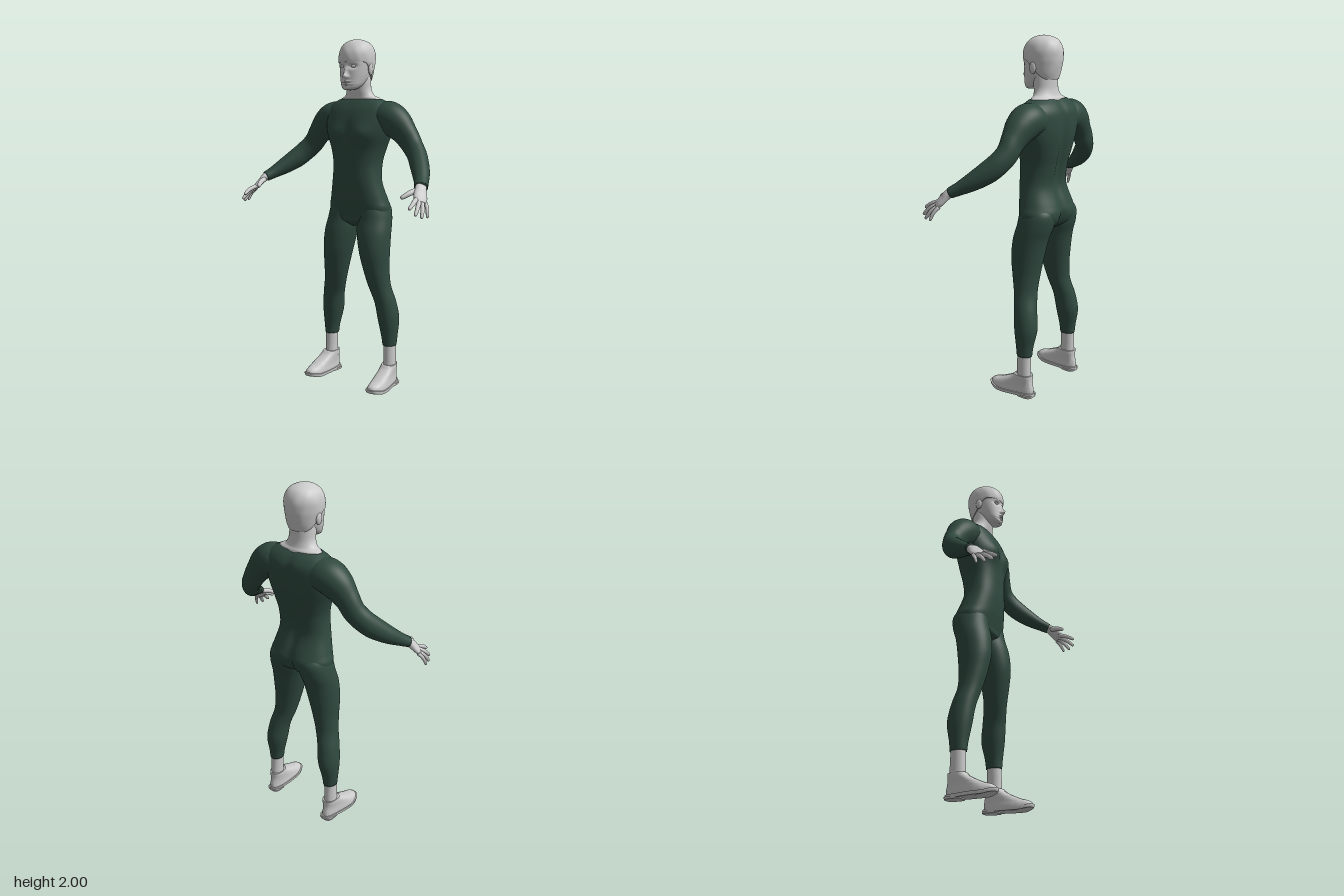
import * as THREE from 'three';
import { toCreasedNormals } from 'three/addons/utils/BufferGeometryUtils.js';

const V = (x, y, z) => new THREE.Vector3(x, y, z);
const skin = new THREE.MeshStandardMaterial({ color: 0xcccccc });
const suit = new THREE.MeshStandardMaterial({ color: 0x304a40 });
const bell = (x, y, sx, sy) => Math.exp(-((x / sx) ** 2) - (y / sy) ** 2);
const step = THREE.MathUtils.smoothstep;

// Row of a vertical loft from its extents: height, inner/outer x, front/back z
const span = ([y, x0, x1, zf, zb]) => [(x0 + x1) / 2, y, (zf + zb) / 2, (x1 - x0) / 2, (zf - zb) / 2];
// The same, symmetric about x = 0
const sym = ([y, rx, zf, zb]) => span([y, -rx, rx, zf, zb]);

// Smooth skin through rows [x, y, z, rx, rz]; rings lie level, or across the path when ref is given
function loft(name, material, rows, { ref, steps = 40, segs = 48, pow = 2, warp, crease } = {}) {
  const spline = (pick) => new THREE.CatmullRomCurve3(rows.map(pick), false, 'catmullrom', 0.5);
  const centre = spline((r) => V(r[0], r[1], r[2]));
  const radius = spline((r) => V(r[3], r[4], 0));
  const pos = [], index = [];
  const put = (p) => { if (warp) warp(p); pos.push(p.x, p.y, p.z); };
  const bend = (c) => Math.sign(c) * Math.abs(c) ** (2 / pow);
  for (let i = 0; i <= steps; i++) {
    const c = centre.getPoint(i / steps), r = radius.getPoint(i / steps);
    const T = ref ? centre.getTangent(i / steps) : V(0, Math.sign(rows.at(-1)[1] - rows[0][1]), 0);
    const S = ref ? ref.clone().cross(T).normalize() : V(1, 0, 0);
    const U = T.clone().cross(S);
    for (let j = 0; j < segs; j++) {
      const a = (j / segs) * Math.PI * 2;
      put(c.clone().addScaledVector(S, bend(Math.cos(a)) * Math.max(r.x, 0.001))
        .addScaledVector(U, bend(Math.sin(a)) * Math.max(r.y, 0.001)));
      if (i < steps) {
        const k = i * segs, n = (j + 1) % segs;
        index.push(k + j, k + n, k + segs + n, k + j, k + segs + n, k + segs + j);
      }
    }
  }
  // End caps
  const e = (steps + 1) * segs;
  put(centre.getPoint(0));
  put(centre.getPoint(1));
  for (let j = 0; j < segs; j++) {
    const n = (j + 1) % segs;
    index.push(e, n, j, e + 1, steps * segs + j, steps * segs + n);
  }
  let g = new THREE.BufferGeometry();
  g.setAttribute('position', new THREE.Float32BufferAttribute(pos, 3));
  g.setIndex(index);
  if (crease) g = toCreasedNormals(g, crease);
  else g.computeVertexNormals();
  const mesh = new THREE.Mesh(g, material);
  mesh.name = name;
  return mesh;
}

// Right-hand copy with the winding turned round
function mirrored(mesh) {
  const g = mesh.geometry.index ? mesh.geometry.toNonIndexed() : mesh.geometry.clone();
  g.scale(-1, 1, 1);
  for (const { array: a } of Object.values(g.attributes)) {
    const n = a.length / (g.attributes.position.count);
    for (let i = 0; i < a.length; i += 3 * n)
      for (let k = 0; k < n; k++) [a[i + n + k], a[i + 2 * n + k]] = [a[i + 2 * n + k], a[i + n + k]];
  }
  const m = new THREE.Mesh(g, mesh.material);
  m.name = mesh.name.replace('left', 'right');
  return m;
}

function ellipsoid(name, material, centre, size) {
  const g = new THREE.SphereGeometry(1, 20, 14).scale(...size).translate(...centre);
  const m = new THREE.Mesh(g, material);
  m.name = name;
  return m;
}

// Chest muscles, spine groove and buttocks
function torsoWarp(p) {
  const front = step(p.z, -0.12, -0.04), back = 1 - step(p.z, -0.2, -0.12), ax = Math.abs(p.x);
  p.z += front * 0.022 * bell(ax - 0.09, p.y - 1.475, 0.065, 0.055);
  p.z -= front * 0.008 * bell(p.x, p.y - 1.42, 0.02, 0.14);
  p.z += back * 0.02 * bell(p.x, p.y - 1.36, 0.025, 0.27);
  p.z -= back * 0.012 * bell(ax - 0.09, p.y - 1.03, 0.06, 0.06);
  p.z += back * 0.02 * bell(p.x, p.y - 1.0, 0.018, 0.07);
}

// Brow, eye sockets, nose, lips and chin
function faceWarp(p) {
  const front = step(p.z, -0.06, -0.015), ax = Math.abs(p.x);
  const d = 0.022 * bell(p.x, p.y - 1.792, 0.013, 0.016) + 0.012 * bell(p.x, p.y - 1.82, 0.01, 0.03)
    + 0.007 * bell(ax - 0.015, p.y - 1.787, 0.008, 0.008) - 0.013 * bell(ax - 0.036, p.y - 1.845, 0.02, 0.012)
    + 0.004 * bell(ax - 0.035, p.y - 1.868, 0.03, 0.01) + 0.007 * bell(p.x, p.y - 1.764, 0.025, 0.006)
    - 0.004 * bell(p.x, p.y - 1.757, 0.028, 0.003) + 0.007 * bell(p.x, p.y - 1.749, 0.022, 0.006)
    - 0.004 * bell(p.x, p.y - 1.738, 0.03, 0.006);
  p.z += front * d;
}

// Short fringe in front, longer hair at the nape, slight waves
function hairWarp(p) {
  p.y = Math.max(p.y, 1.77 + 0.1 * step(p.z, -0.17, -0.04));
  const w = 1 + 0.012 * Math.sin(p.x * 90 + p.y * 40) * Math.sin(p.z * 70 + 1);
  p.x *= w;
  p.z = -0.1 + (p.z + 0.1) * w;
}

// Narrow heel, wide ball of the foot, raised toe
function shoeWarp(p) {
  const t = step(p.z, -0.16, 0.02);
  p.x = 0.213 + 0.012 * t + (p.x - 0.222) * (0.78 + 0.22 * t);
  p.y += 0.014 * step(p.z, 0.02, 0.1);
}

export function createModel() {
  const model = new THREE.Group();
  const add = (...m) => model.add(...m);
  const pair = (m) => add(m, mirrored(m));

  add(loft('torso', suit, [
    [0.94, 0.03, -0.07, -0.15], [0.97, 0.13, -0.035, -0.205], [1.0, 0.18, -0.03, -0.23],
    [1.05, 0.195, -0.02, -0.243], [1.1, 0.18, -0.01, -0.235], [1.2, 0.155, 0, -0.205],
    [1.3, 0.15, 0, -0.217], [1.38, 0.167, 0, -0.235], [1.47, 0.2, 0.002, -0.25],
    [1.54, 0.215, -0.005, -0.253], [1.6, 0.215, -0.025, -0.247], [1.64, 0.19, -0.048, -0.225],
    [1.668, 0.138, -0.07, -0.197]].map(sym), { steps: 90, segs: 80, pow: 2.3, warp: torsoWarp }));

  add(loft('neck', skin, [
    [1.655, 0.14, -0.072, -0.2], [1.672, 0.128, -0.072, -0.196], [1.688, 0.095, -0.068, -0.187],
    [1.72, 0.077, -0.06, -0.18], [1.77, 0.073, -0.05, -0.178], [1.82, 0.07, -0.05, -0.178]].map(sym)));

  add(loft('head', skin, [
    [1.716, 0.022, -0.004, -0.045], [1.726, 0.044, 0.006, -0.075], [1.745, 0.06, 0.009, -0.11],
    [1.77, 0.071, 0.009, -0.145], [1.805, 0.081, 0.009, -0.172], [1.845, 0.088, 0.008, -0.19],
    [1.88, 0.091, 0.006, -0.2], [1.92, 0.088, -0.004, -0.2], [1.96, 0.06, -0.04, -0.17]].map(sym),
  { steps: 110, segs: 120, pow: 2.15, warp: faceWarp }));
  pair(ellipsoid('left eye', skin, [0.036, 1.846, -0.011], [0.015, 0.009, 0.011]));
  pair(ellipsoid('left ear', skin, [0.093, 1.832, -0.1], [0.011, 0.034, 0.02]));

  add(loft('hair', skin, [
    [1.76, 0.066, -0.06, -0.183], [1.8, 0.083, -0.03, -0.196], [1.85, 0.096, 0.002, -0.208],
    [1.88, 0.1, 0.014, -0.212], [1.92, 0.099, 0.012, -0.212], [1.955, 0.088, -0.005, -0.2],
    [1.98, 0.066, -0.03, -0.178], [1.995, 0.034, -0.065, -0.142], [2.0, 0.004, -0.1, -0.108]].map(sym),
  { steps: 60, segs: 72, warp: hairWarp }));

  // Arms
  pair(loft('left sleeve', suit, [
    [0.1, 1.55, -0.145, 0.085, 0.08], [0.18, 1.565, -0.143, 0.094, 0.092], [0.245, 1.53, -0.14, 0.083, 0.088],
    [0.305, 1.47, -0.138, 0.062, 0.07], [0.35, 1.41, -0.135, 0.054, 0.062], [0.395, 1.36, -0.11, 0.053, 0.06],
    [0.435, 1.315, -0.068, 0.052, 0.058], [0.48, 1.27, -0.01, 0.047, 0.048], [0.515, 1.235, 0.045, 0.039, 0.036],
    [0.54, 1.21, 0.09, 0.036, 0.029]], { ref: V(0, 1, 0), steps: 70 }));

  // Hands
  const palmUp = V(0.66, 0.68, 0.32);
  pair(loft('left palm', skin, [
    [0.53, 1.22, 0.072, 0.028, 0.022], [0.544, 1.203, 0.1, 0.031, 0.021], [0.555, 1.18, 0.122, 0.036, 0.017],
    [0.566, 1.158, 0.14, 0.037, 0.015], [0.575, 1.14, 0.155, 0.031, 0.011]], { ref: palmUp, steps: 20, segs: 28, pow: 2.4 }));
  const fingers = {
    thumb: [[0.527, 1.195, 0.118], [0.49, 1.16, 0.207], 0.014],
    'index finger': [[0.553, 1.157, 0.157], [0.565, 1.113, 0.25], 0.0115],
    'middle finger': [[0.566, 1.147, 0.154], [0.594, 1.082, 0.238], 0.0115],
    'ring finger': [[0.578, 1.14, 0.142], [0.612, 1.067, 0.205], 0.0108],
    'little finger': [[0.589, 1.137, 0.126], [0.621, 1.066, 0.162], 0.0095],
  };
  for (const [name, [a, b, r]] of Object.entries(fingers)) {
    const rows = [[0, 1.1], [0.3, 1.05], [0.6, 0.95], [0.88, 0.8], [0.97, 0.55], [1, 0.08]].map(([t, k]) => {
      const p = V(...a).lerp(V(...b), t).addScaledVector(palmUp, 0.008 * Math.sin(Math.PI * t));
      return [p.x, p.y, p.z, r * k, r * k];
    });
    pair(loft('left ' + name, skin, rows, { ref: palmUp, steps: 18, segs: 14 }));
  }

  // Legs
  pair(loft('left trouser leg', suit, [
    [0.245, 0.172, 0.251, -0.09, -0.182], [0.3, 0.163, 0.256, -0.085, -0.188], [0.4, 0.14, 0.262, -0.07, -0.206],
    [0.5, 0.125, 0.25, -0.058, -0.192], [0.6, 0.092, 0.226, -0.038, -0.171], [0.7, 0.065, 0.217, -0.015, -0.176],
    [0.8, 0.04, 0.217, 0, -0.19], [0.9, 0.018, 0.215, -0.006, -0.208], [0.98, 0.006, 0.206, -0.026, -0.235],
    [1.05, 0.02, 0.19, -0.04, -0.24], [1.1, 0.05, 0.16, -0.07, -0.2]].map(span), { steps: 70 }));
  pair(loft('left ankle', skin, [
    [0.09, 0.178, 0.25, -0.09, -0.18], [0.16, 0.18, 0.249, -0.092, -0.178],
    [0.21, 0.179, 0.248, -0.093, -0.177], [0.26, 0.178, 0.247, -0.094, -0.178]].map(span), { steps: 12 }));

  // Shoes
  pair(loft('left shoe upper', skin, [
    [0.015, 0.17, 0.274, 0.086, -0.194], [0.035, 0.17, 0.274, 0.083, -0.196], [0.055, 0.172, 0.272, 0.058, -0.194],
    [0.075, 0.172, 0.271, 0.015, -0.19], [0.095, 0.171, 0.272, -0.03, -0.187], [0.115, 0.17, 0.273, -0.065, -0.187],
    [0.13, 0.172, 0.272, -0.08, -0.187]].map(span), { steps: 30, pow: 2.5, warp: shoeWarp, crease: 0.9 }));
  pair(loft('left sole', skin, [
    [0.006, 0.166, 0.278, 0.09, -0.2], [0.014, 0.164, 0.28, 0.094, -0.202], [0.024, 0.164, 0.28, 0.095, -0.202]].map(span),
  { steps: 6, pow: 2.6, warp: shoeWarp, crease: 0.7 }));
  pair(loft('left heel', skin, [
    [0, 0.168, 0.276, -0.1, -0.2], [0.012, 0.166, 0.278, -0.1, -0.202]].map(span),
  { steps: 2, pow: 3, warp: shoeWarp, crease: 0.7 }));
  return model;
}
